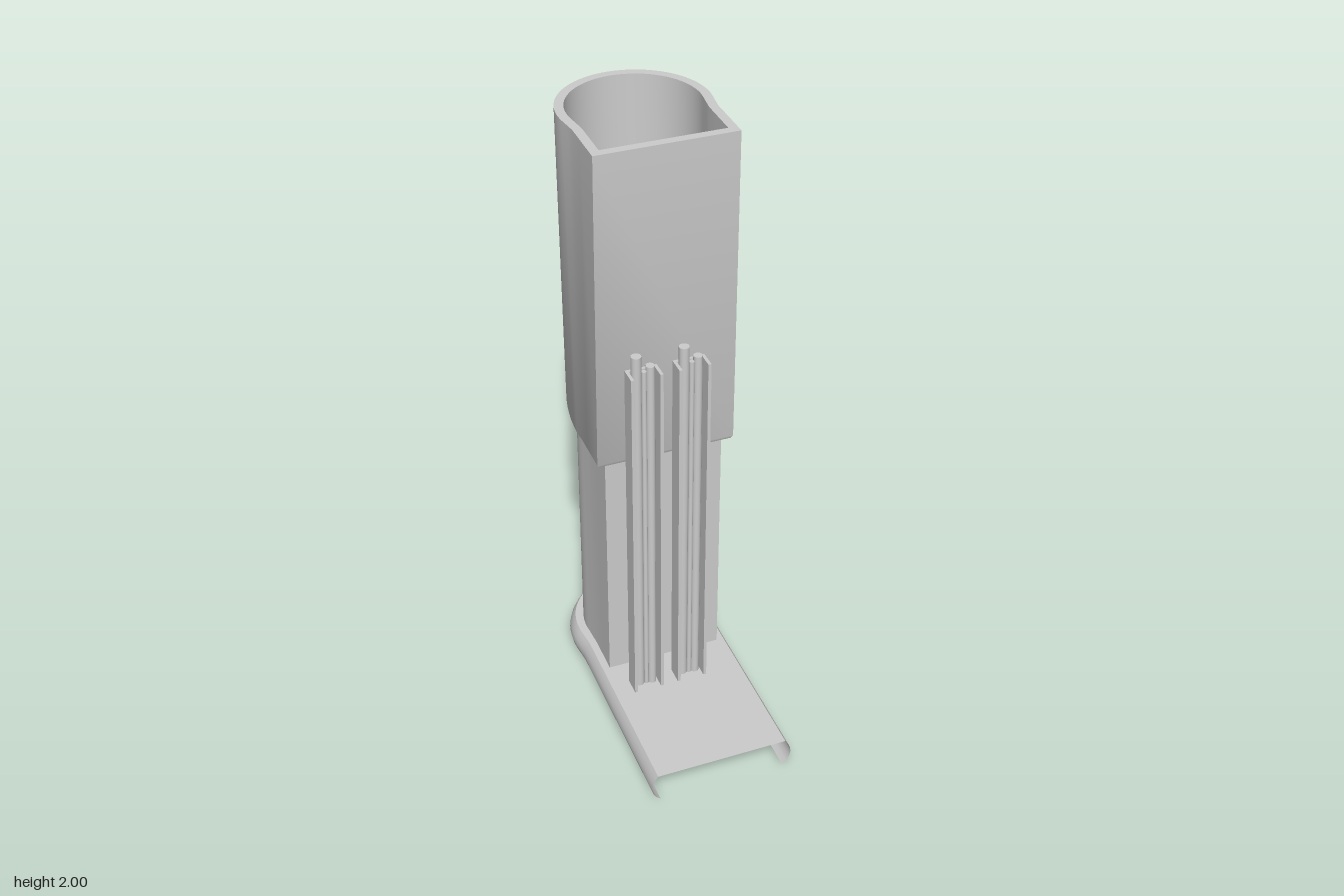
import * as THREE from 'three';
import { toCreasedNormals } from 'three/addons/utils/BufferGeometryUtils.js';

const grey = new THREE.MeshStandardMaterial({ color: 0xcccccc, side: THREE.DoubleSide });
const black = new THREE.MeshStandardMaterial({ color: 0x0a0a0a });

// D-shaped outline: straight sides and front, round back slightly wider than the sides
function outline(w, r, front, inset = 0, cz = -0.24) {
  const W = w - inset, R = r - inset, F = front - inset;
  const pts = [[W, F], [W, -0.09], [W, -0.15], [W + (R - W) * 0.35, -0.18]];
  const a0 = 0.12, n = 40;
  for (let i = 0; i <= n; i++) {
    const a = -a0 + (i / n) * (Math.PI + 2 * a0);
    pts.push([R * Math.cos(a), cz - R * Math.sin(a)]);
  }
  pts.push([-pts[3][0], -0.18], [-W, -0.15], [-W, -0.09], [-W, F]);
  return pts;
}

// Skin over a list of rings of [x, y, z] points
function loft(rings, closed = true) {
  const n = rings[0].length, index = [];
  for (let k = 0; k < rings.length - 1; k++) {
    for (let i = 0; i < (closed ? n : n - 1); i++) {
      const j = (i + 1) % n;
      const a = k * n + i, b = k * n + j, c = a + n, d = b + n;
      index.push(a, b, c, b, d, c);
    }
  }
  const g = new THREE.BufferGeometry();
  g.setAttribute('position', new THREE.Float32BufferAttribute(rings.flat(2), 3));
  g.setIndex(index);
  return toCreasedNormals(g, 0.6);
}

const level = (pts, y) => pts.map(([x, z]) => [x, typeof y === 'function' ? y(z) : y, z]);

function add(parent, name, geometry, x = 0, y = 0, z = 0, material = grey) {
  const m = new THREE.Mesh(geometry, material);
  m.name = name;
  m.position.set(x, y, z);
  parent.add(m);
  return m;
}

function boxPart(parent, name, x0, x1, y0, y1, z0, z1) {
  return add(parent, name, new THREE.BoxGeometry(x1 - x0, y1 - y0, z1 - z0),
    (x0 + x1) / 2, (y0 + y1) / 2, (z0 + z1) / 2);
}

function flatShape(pts) {
  const g = new THREE.ShapeGeometry(new THREE.Shape(pts.map(([x, z]) => new THREE.Vector2(x, -z))));
  return g.rotateX(-Math.PI / 2);
}

export function createModel() {
  const model = new THREE.Group();
  model.name = 'sleeveStand';

  // Base: thin plate with a rolled rim, open at the front and underneath
  const base = new THREE.Group();
  base.name = 'base';
  model.add(base);
  const rimSteps = [[0.028, 0], [0.014, 0.012], [0.004, 0.03], [0, 0.05], [0.004, 0.07], [0.012, 0.088], [0.02, 0.1]];
  const rim = (inset) => outline(0.235, 0.243, 0.5 + inset, inset);
  add(base, 'baseRim', loft(rimSteps.map(([s, y]) => level(rim(s), y)), false));
  add(base, 'basePlate', flatShape(rim(0.02)), 0, 0.1, 0);

  // Lower column: hollow, running up inside the sleeve
  const colOut = outline(0.191, 0.196, -0.016), colIn = outline(0.191, 0.196, -0.016, 0.01);
  add(model, 'column', loft([
    level(colOut, 0.1), level(colOut, 1.2), level(colIn, 1.2), level(colIn, 0.1),
  ]));

  // Upper sleeve: widens front to back towards the top, lower edge cut up at the back
  const cut = (z) => 0.945 + 0.15 * THREE.MathUtils.clamp((-0.18 - z) / 0.27, 0, 1);
  const low = (s) => outline(0.222, 0.229, 0.005, s, -0.228);
  const high = (s) => outline(0.217, 0.228, 0.018, s, -0.246);
  add(model, 'sleeve', loft([
    level(low(0.024), cut), level(low(0.006), cut), level(low(0), (z) => cut(z) + 0.012),
    level(high(0), 2), level(high(0.028), 2), level(low(0.024), cut),
  ]));

  // Short arch-shaped holder on the floor inside the column
  const arch = (r) => {
    const p = [[0.73 * r, -0.08], [0.93 * r, -0.125]];
    for (let i = 0; i <= 28; i++) {
      const a = -0.4 + (i / 28) * (Math.PI + 0.8);
      p.push([r * Math.cos(a), -0.225 - 1.1 * r * Math.sin(a)]);
    }
    p.push([-0.93 * r, -0.125], [-0.73 * r, -0.08]);
    return p;
  };
  const holder = new THREE.Group();
  holder.name = 'innerHolder';
  holder.position.x = -0.022;
  model.add(holder);
  add(holder, 'holderWall', loft([
    level(arch(0.148), 0.1), level(arch(0.148), 0.22), level(arch(0.138), 0.22), level(arch(0.138), 0.1),
  ]));
  boxPart(holder, 'holderClip', -0.095, 0.055, 0.1, 0.18, -0.395, -0.365);

  // Two upright channel rails in front, each with rods, wall brackets and a peg
  for (const x of [-0.103, 0.046]) {
    const rail = new THREE.Group();
    rail.name = 'rail';
    rail.position.x = x;
    model.add(rail);
    boxPart(rail, 'railWeb', -0.05, 0.05, 0.09, 1.325, 0.067, 0.077);
    for (const s of [-1, 1]) {
      boxPart(rail, 'railFlange', s * 0.045 - 0.005, s * 0.045 + 0.005, 0.09, 1.325, 0.077, 0.125);
    }
    const rod = (name, rx, r, top, z) =>
      add(rail, name, new THREE.CylinderGeometry(r, r, top - 0.1, 16), rx, (top + 0.1) / 2, z);
    rod('tallRod', -0.02, 0.016, 1.378, 0.084);
    rod('shortRod', 0.022, 0.014, 1.34, 0.088);
    rod('thinRod', 0.002, 0.008, 1.325, 0.09);
    for (const y of [0.33, 0.71, 1.11]) {
      boxPart(rail, 'railBracket', -0.04, 0.04, y - 0.01, y + 0.01, 0.046, 0.067);
    }
    add(rail, 'footPeg', new THREE.CylinderGeometry(0.01, 0.01, 0.06, 12), 0.02, 0.08, 0.085);
  }

  // Round button in a black ring on the back
  const button = new THREE.Group();
  button.name = 'backButton';
  button.position.set(-0.005, 1.235, -0.43);
  button.rotation.x = -Math.PI / 2;
  model.add(button);
  const ringProfile = [[0.062, 0], [0.081, 0], [0.081, 0.048], [0.078, 0.056], [0.064, 0.058], [0.062, 0.05], [0.062, 0]];
  add(button, 'buttonRing', toCreasedNormals(
    new THREE.LatheGeometry(ringProfile.map((p) => new THREE.Vector2(...p)), 40), 0.6), 0, 0, 0, black);
  const cap = [[0.063, 0.02], [0.063, 0.053], [0.05, 0.061], [0.03, 0.067], [0, 0.07]];
  add(button, 'buttonCap', toCreasedNormals(
    new THREE.LatheGeometry(cap.map((p) => new THREE.Vector2(...p)), 40), 0.6));

  return model;
}
